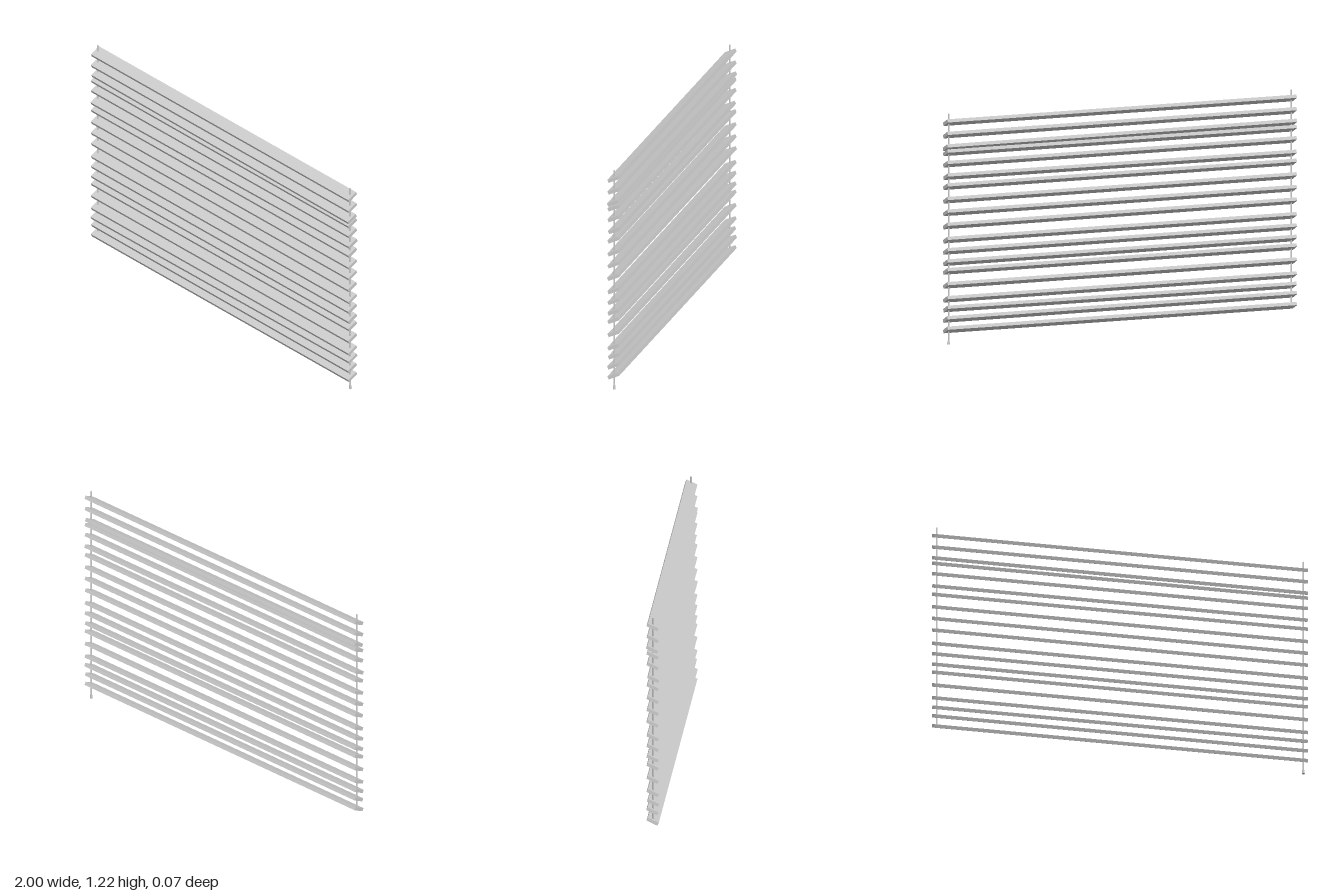
import * as THREE from 'three';

export function createModel() {
  const group = new THREE.Group();
  group.name = 'windowBlind';
  const material = new THREE.MeshStandardMaterial({ color: 0xcccccc, flatShading: true });

  function add(name, geometry, x, y, z = 0) {
    const mesh = new THREE.Mesh(geometry, material);
    mesh.name = name;
    mesh.position.set(x, y, z);
    group.add(mesh);
    return mesh;
  }

  // Slats: [height, skew]; a skewed slat hangs slightly crooked
  const slats = [
    [1.176, 0], [1.11, 0], [1.046, 1], [1.016, 0], [0.956, 0], [0.887, -1], [0.837, 0],
    [0.765, 0], [0.698, 0], [0.63, 0.6], [0.554, 0], [0.494, 0], [0.434, 0], [0.388, 0],
    [0.314, 0], [0.24, 0], [0.187, -0.8], [0.135, 0.6], [0.078, 0],
  ];
  const pitch = THREE.MathUtils.degToRad(25); // front edge low, back edge high
  const slatGeometry = new THREE.BoxGeometry(2, 0.018, 0.063).rotateX(pitch);
  slats.forEach(([y, skew]) => {
    const slat = add('slat', slatGeometry, 0, y);
    slat.rotation.set(0, -skew * 0.003, -skew * 0.003);
  });

  // Cords through both ends; the one on the left hangs below the last slat
  function cord(name, x, bottom, top) {
    add(name, new THREE.CylinderGeometry(0.004, 0.004, top - bottom, 8), x, (top + bottom) / 2);
  }
  cord('leftCord', 0.982, 0.015, 1.222);
  cord('rightCord', -0.982, 0.07, 1.222);

  // Pull at the end of the long cord
  add('cordPull', new THREE.CylinderGeometry(0.006, 0.008, 0.02, 8), 0.982, 0.01);

  return group;
}
